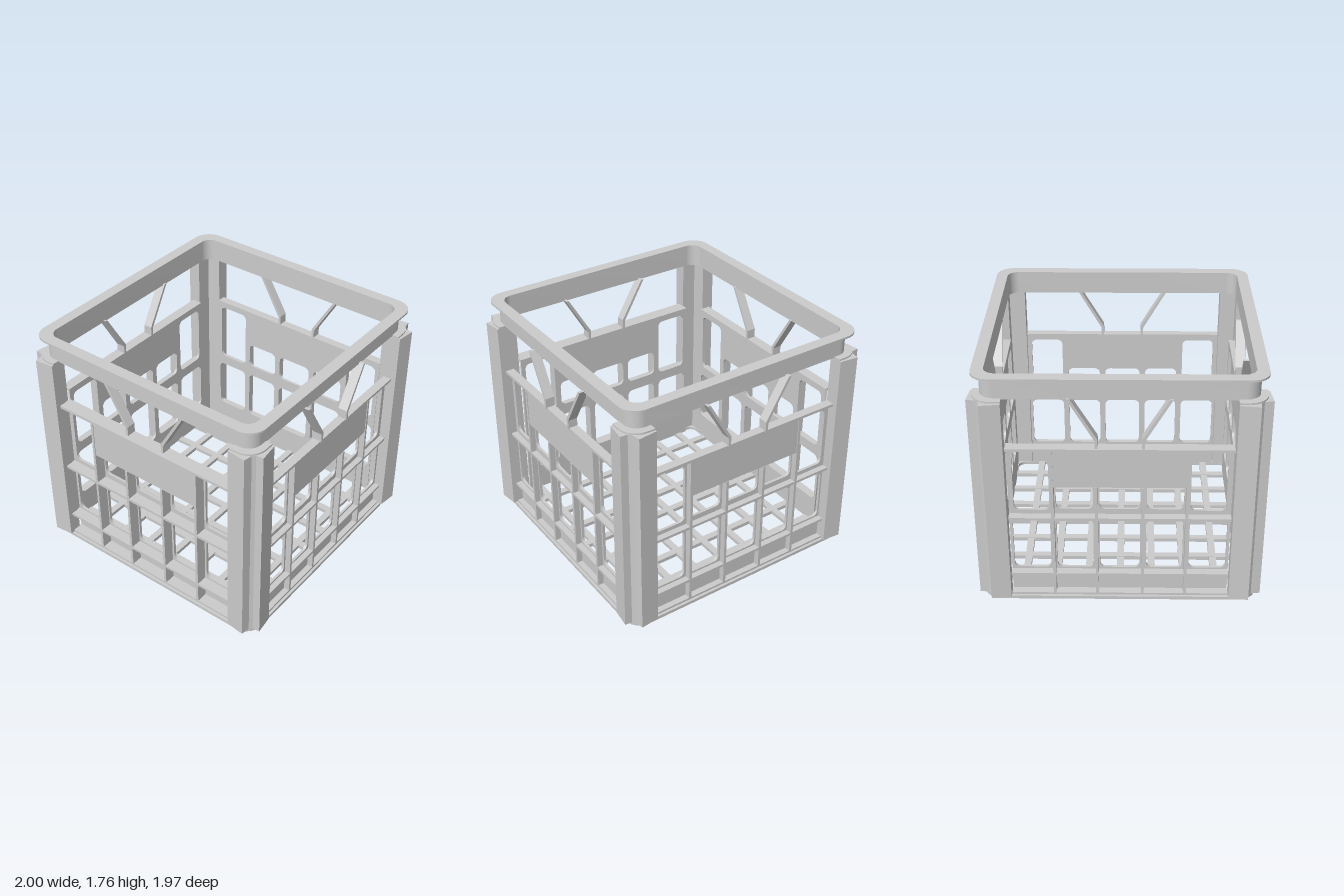
import * as THREE from 'three';
import { toCreasedNormals } from 'three/addons/utils/BufferGeometryUtils.js';

const material = new THREE.MeshStandardMaterial({ color: 0xcccccc, side: THREE.DoubleSide });

function addMesh(parent, name, geometry) {
  const mesh = new THREE.Mesh(geometry, material);
  mesh.name = name;
  parent.add(mesh);
  return mesh;
}

// Box given by its min and max corners
function addBox(parent, name, x0, x1, y0, y1, z0, z1) {
  const mesh = addMesh(parent, name, new THREE.BoxGeometry(x1 - x0, y1 - y0, z1 - z0));
  mesh.position.set((x0 + x1) / 2, (y0 + y1) / 2, (z0 + z1) / 2);
  return mesh;
}

function roundedRect(target, x0, x1, y0, y1, r) {
  target.moveTo(x0 + r, y0);
  target.lineTo(x1 - r, y0);
  target.absarc(x1 - r, y0 + r, r, -Math.PI / 2, 0);
  target.lineTo(x1, y1 - r);
  target.absarc(x1 - r, y1 - r, r, 0, Math.PI / 2);
  target.lineTo(x0 + r, y1);
  target.absarc(x0 + r, y1 - r, r, Math.PI / 2, Math.PI);
  target.lineTo(x0, y0 + r);
  target.absarc(x0 + r, y0 + r, r, Math.PI, Math.PI * 1.5);
  return target;
}

// Plan shape raised from y0 to y1
function raise(shape, y0, y1) {
  const g = new THREE.ExtrudeGeometry(shape, { depth: y1 - y0, bevelEnabled: false, curveSegments: 8 });
  g.rotateX(-Math.PI / 2).translate(0, y0, 0);
  return toCreasedNormals(g, 0.6);
}

// Rounded rectangular ring, sized by half widths in x and z
function ring(x, z, r, xi, zi, ri, y0, y1) {
  const shape = roundedRect(new THREE.Shape(), -x, x, -z, z, r);
  shape.holes.push(roundedRect(new THREE.Path(), -xi, xi, -zi, zi, ri));
  return raise(shape, y0, y1);
}

// One side wall facing +z, from its inner to its outer distance
function makeWall(name, inner, outer) {
  const wall = new THREE.Group();
  wall.name = name;
  const W = 0.765;

  // Thin sheet with rounded windows
  const sheet = roundedRect(new THREE.Shape(), -W, W, 0.02, 1.22, 0.001);
  const columns = [[-0.745, -0.485], [-0.44, -0.185], [-0.14, 0.14], [0.185, 0.44], [0.485, 0.745]];
  columns.forEach(([a, b], i) => {
    const end = i === 0 || i === 4;
    sheet.holes.push(roundedRect(new THREE.Path(), a, b, 0.225, 0.63, 0.04));
    sheet.holes.push(roundedRect(new THREE.Path(), end ? Math.max(a, -0.73) : a,
      end ? Math.min(b, 0.73) : b, end ? 0.71 : 0.72, end ? 1.18 : 0.925, 0.04));
  });
  const g = new THREE.ExtrudeGeometry(sheet, { depth: 0.02, bevelEnabled: false, curveSegments: 5 });
  addMesh(wall, 'windowSheet', toCreasedNormals(g, 0.6)).position.z = inner;

  // Horizontal shelves and upright ribs
  for (const y of [0.03, 0.2, 0.67, 1.22]) {
    addBox(wall, 'shelf', -W, W, y - 0.01, y + 0.01, inner, outer);
  }
  for (const x of [-0.46, -0.16, 0.16, 0.46]) {
    const top = Math.abs(x) > 0.3 ? 1.21 : 0.93;
    addBox(wall, 'rib', x - 0.01, x + 0.01, 0.02, top, inner, outer);
  }
  addBox(wall, 'plainPanel', -0.455, 0.455, 0.93, 1.215, inner, outer - 0.005);

  // Bent struts that carry the rim
  for (const s of [-1, 1]) {
    const points = [[0.147, 1.22], [0.147, 1.3], [0.325, 1.6], [0.347, 1.6], [0.167, 1.29], [0.167, 1.22]];
    const shape = new THREE.Shape(points.map(([x, y]) => new THREE.Vector2(s * x, y)));
    const strut = new THREE.ExtrudeGeometry(shape, { depth: 0.07, bevelEnabled: false });
    addMesh(wall, 'rimStrut', strut).position.z = inner;
  }
  return wall;
}

// Corner post with two outer plates, a notch on the corner and end caps
function makePost(sx, sz) {
  const post = new THREE.Group();
  post.name = 'cornerPost';
  const point = ([x, z]) => new THREE.Vector2(sx * x, -sz * z);
  const profile = [[0.77, 0.87], [0.77, 0.965], [0.91, 0.983], [0.915, 0.93], [0.935, 0.91],
    [1, 0.9], [0.985, 0.76], [0.89, 0.76], [0.89, 0.87]];
  addMesh(post, 'postBody', raise(new THREE.Shape(profile.map(point)), 0.025, 1.585));

  const cap = [[0.77, 0.87], [0.77, 0.95]];
  for (let i = 0; i <= 8; i++) {
    const a = Math.PI / 2 * (1 - i / 8);
    cap.push([0.84 + 0.13 * Math.cos(a), 0.82 + 0.13 * Math.sin(a)]);
  }
  cap.push([0.97, 0.76], [0.89, 0.76], [0.89, 0.87]);
  addMesh(post, 'postCap', raise(new THREE.Shape(cap.map(point)), 1.583, 1.597));
  return post;
}

export function createModel() {
  const crate = new THREE.Group();
  crate.name = 'crate';

  // Top rim: upright band with a flat lip
  addMesh(crate, 'rimBand', ring(0.92, 0.9, 0.1, 0.887, 0.865, 0.08, 1.59, 1.75));
  addMesh(crate, 'rimLip', ring(0.97, 0.95, 0.13, 0.887, 0.865, 0.08, 1.745, 1.76));

  // Base frame and floor grid
  addMesh(crate, 'baseFrame', ring(0.97, 0.95, 0.13, 0.885, 0.865, 0.06, 0, 0.024));
  for (let i = -3; i <= 3; i++) {
    const c = i * 0.229;
    addBox(crate, 'floorBarAcross', -0.9, 0.9, 0.001, 0.03, c - 0.025, c + 0.025);
    addBox(crate, 'floorBarAlong', c - 0.026, c + 0.026, 0, 0.029, -0.88, 0.88);
  }

  // Four walls
  [['frontWall', 0.866, 0.93], ['leftWall', 0.885, 0.95], ['backWall', 0.85, 0.93], ['rightWall', 0.847, 0.95]]
    .forEach(([name, inner, outer], i) => {
      const wall = makeWall(name, inner, outer);
      wall.rotation.y = i * Math.PI / 2;
      crate.add(wall);
    });

  // Four corner posts
  for (const sx of [-1, 1]) for (const sz of [-1, 1]) crate.add(makePost(sx, sz));
  return crate;
}
